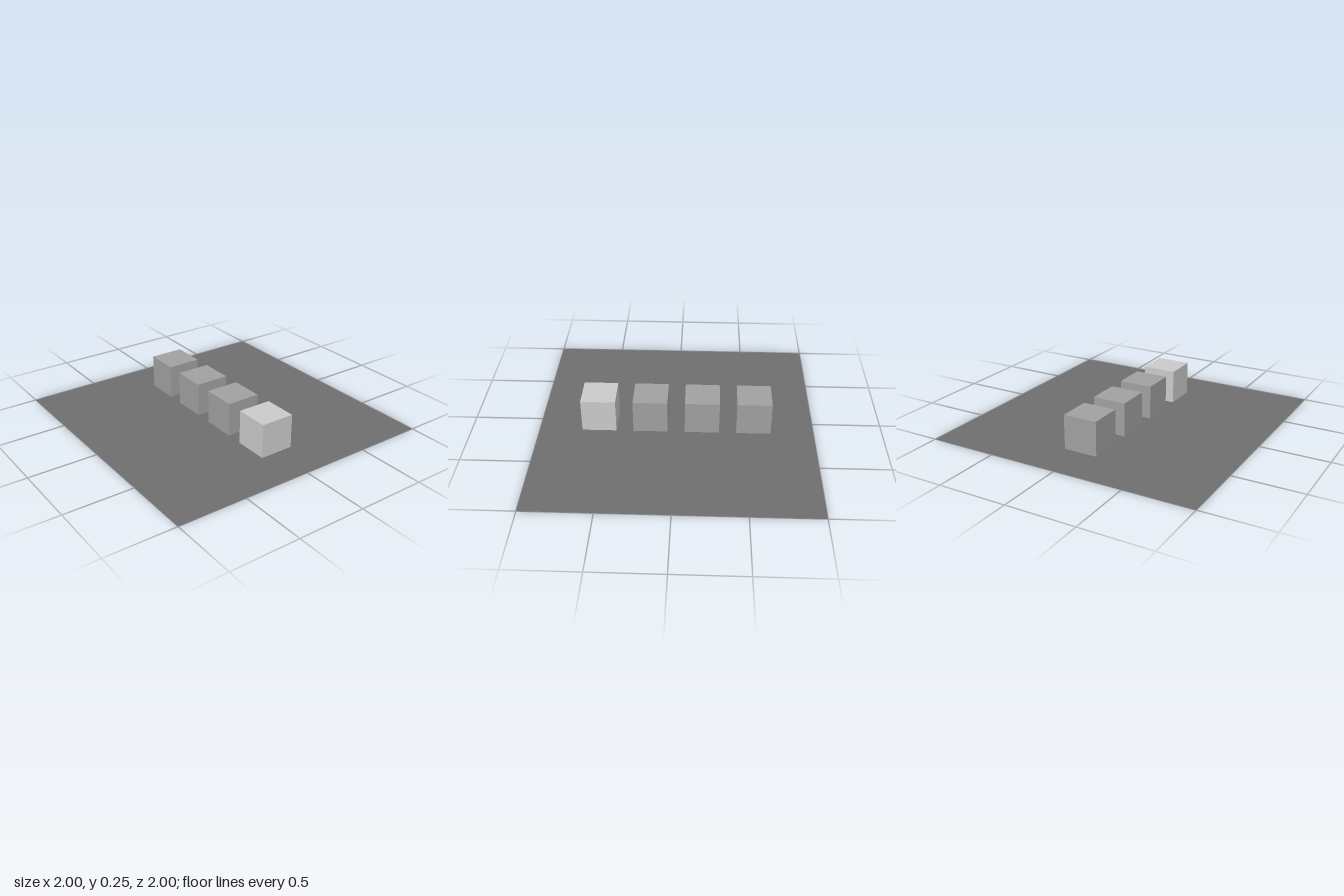
import * as THREE from 'three';

export function createModel() {
  const model = new THREE.Group();
  model.name = 'cubesOnGround';

  const groundGrey = new THREE.MeshStandardMaterial({ color: 0x6e6e6e, side: THREE.DoubleSide });
  groundGrey.name = 'dark grey';
  const cubeGrey = new THREE.MeshStandardMaterial({ color: 0xa0a0a0 });
  cubeGrey.name = 'mid grey';
  const paleGrey = new THREE.MeshStandardMaterial({ color: 0xcacaca });
  paleGrey.name = 'pale grey';

  // Flat square ground sheet
  const ground = new THREE.Mesh(new THREE.PlaneGeometry(2, 2).rotateX(-Math.PI / 2), groundGrey);
  ground.name = 'ground';
  model.add(ground);

  // Row of four cubes, the last one paler; a hair above the sheet to avoid flicker
  const size = 0.25;
  const spacing = 0.375;
  const cubeGeometry = new THREE.BoxGeometry(size, size, size);
  for (let i = 0; i < 4; i++) {
    const last = i === 3;
    const cube = new THREE.Mesh(cubeGeometry, last ? paleGrey : cubeGrey);
    cube.name = last ? 'paleCube' : `greyCube${i + 1}`;
    cube.position.set((i - 1.5) * spacing, size / 2 + 0.001, 0);
    model.add(cube);
  }

  return model;
}
